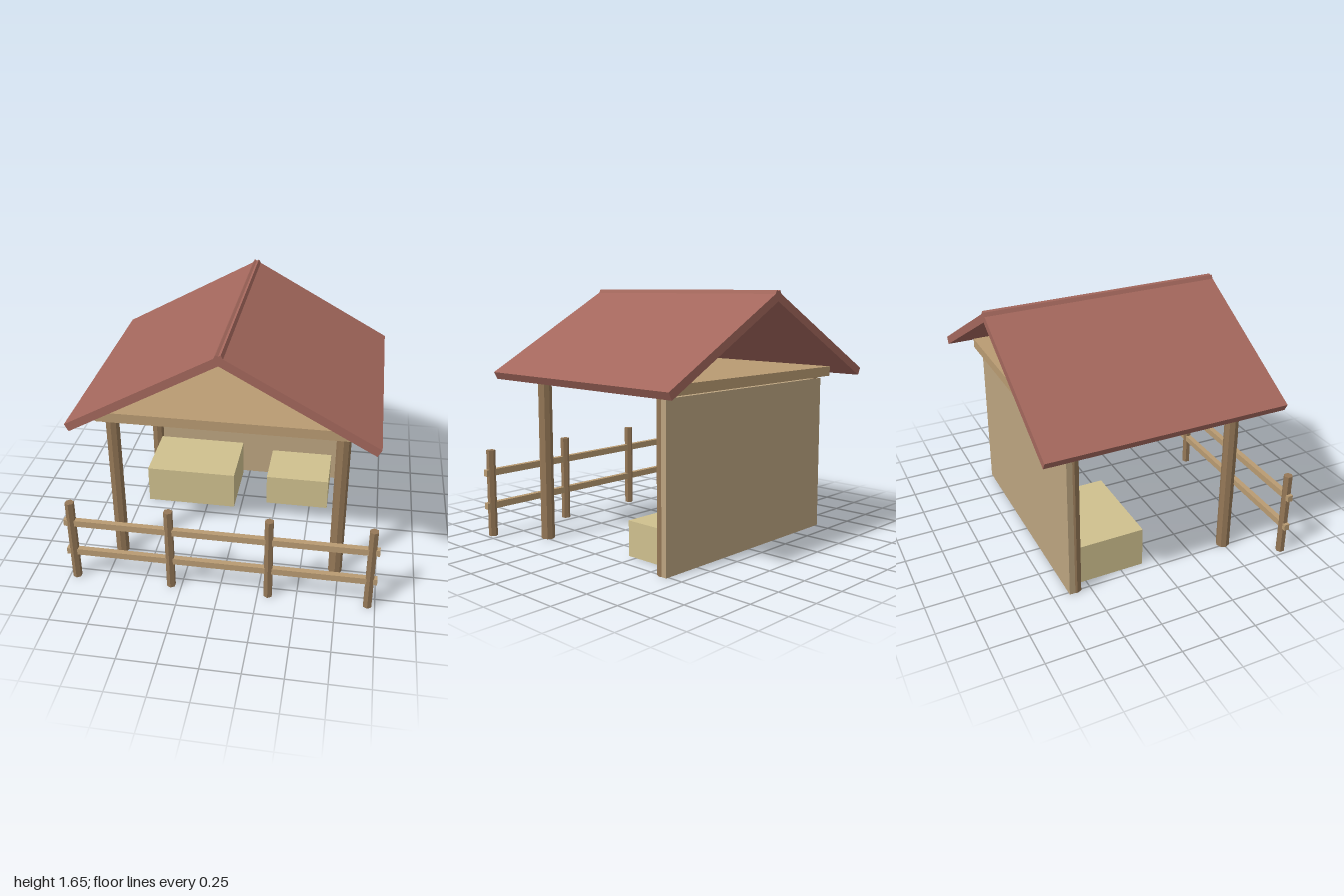
import * as THREE from 'three';

const material = (color) => new THREE.MeshStandardMaterial({ color, flatShading: true });

export function createModel() {
  const group = new THREE.Group();
  group.name = 'shelter';

  const roofMat = material(0xa3675c);
  const plankMat = material(0xb99b72);
  const wallMat = material(0xbca480);
  const postMat = material(0x957857);
  const strawMat = material(0xcfc08e);

  const add = (name, geometry, mat, x, y, z) => {
    const mesh = new THREE.Mesh(geometry, mat);
    mesh.name = name;
    mesh.position.set(x, y, z);
    group.add(mesh);
    return mesh;
  };
  // Box given by its minimum and maximum corners
  const box = (name, mat, [x0, y0, z0], [x1, y1, z1]) =>
    add(name, new THREE.BoxGeometry(x1 - x0, y1 - y0, z1 - z0), mat,
      (x0 + x1) / 2, (y0 + y1) / 2, (z0 + z1) / 2);
  // Upright faceted post standing on the ground
  const post = (name, radius, height, sides, x, z) =>
    add(name, new THREE.CylinderGeometry(radius, radius, height, sides), postMat, x, height / 2, z);

  // Four corner posts
  for (const x of [-0.73, 0.73])
    for (const z of [0.5, -0.595]) post('cornerPost', 0.045, 1.065, 8, x, z);

  // Back wall and ceiling slab
  box('backWall', wallMat, [-0.77, 0, -0.645], [0.77, 1.05, -0.59]);
  box('ceiling', plankMat, [-0.815, 1.065, -0.69], [0.815, 1.13, 0.59]);

  // Two roof panels whose upper ends cross at the ridge
  const eave = new THREE.Vector2(0.955, 1.12);
  const ridge = new THREE.Vector2(-0.015, 1.655);
  const thickness = 0.053;
  const angle = Math.atan2(ridge.y - eave.y, eave.x - ridge.x);
  const panelGeometry = new THREE.BoxGeometry(eave.distanceTo(ridge), thickness, 1.59);
  for (const side of [-1, 1]) {
    const x = (eave.x + ridge.x) / 2 - Math.sin(angle) * thickness / 2;
    const y = (eave.y + ridge.y) / 2 - Math.cos(angle) * thickness / 2;
    add('roofPanel', panelGeometry, roofMat, side * x, y, -0.05).rotation.z = -side * angle;
  }

  // Straw bales against the wall
  box('largeBale', strawMat, [-0.69, 0, -0.555], [-0.05, 0.275, -0.095]);
  box('smallBale', strawMat, [0.18, 0, -0.555], [0.63, 0.23, -0.185]);

  // Front fence
  for (let i = 0; i < 4; i++) post('fencePost', 0.03, 0.59, 6, -0.953 + i * 0.6353, 0.815);
  for (const y of [0.21, 0.437])
    box('fenceRail', plankMat, [-1, y - 0.022, 0.797], [1, y + 0.022, 0.833]);

  return group;
}
